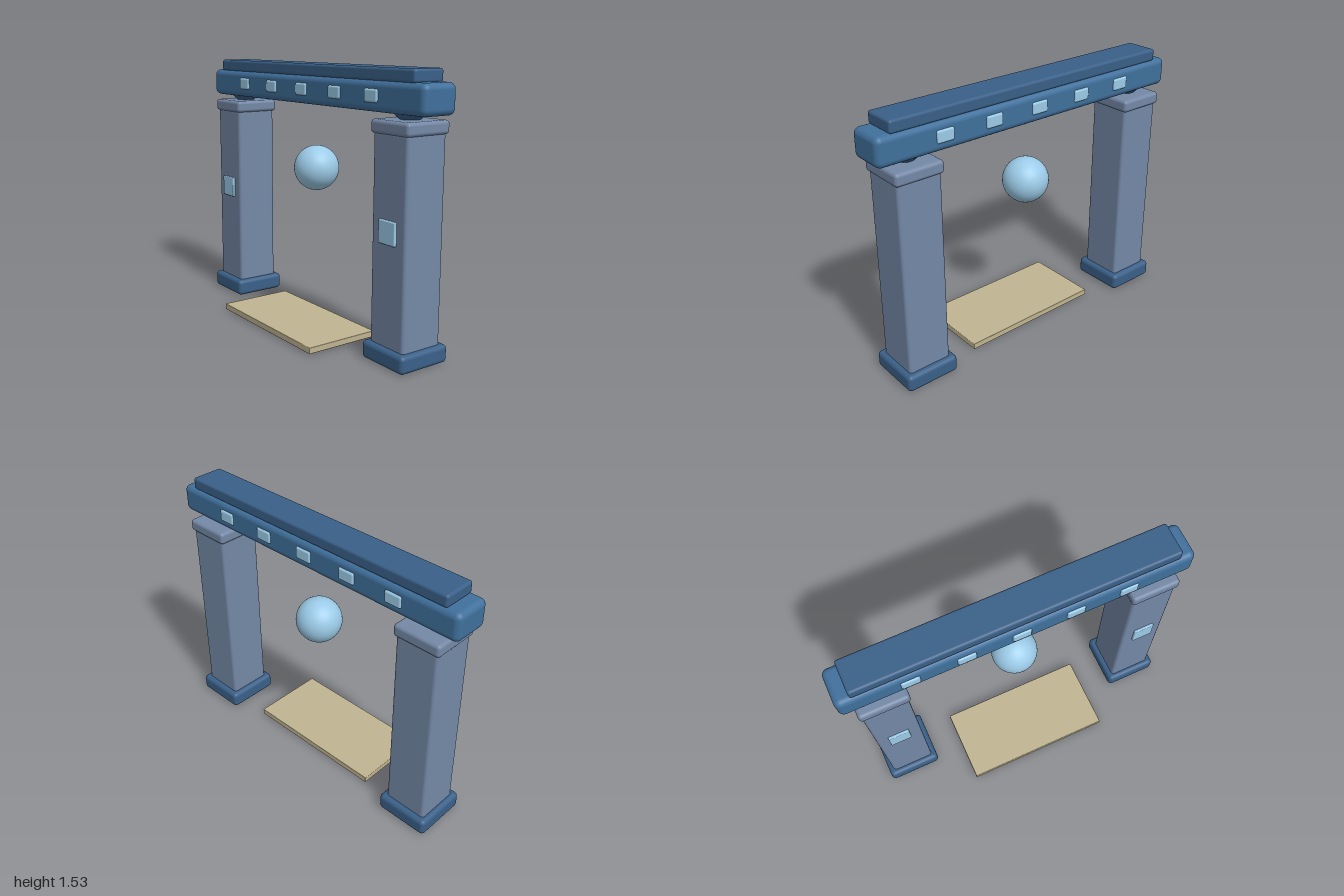
import * as THREE from 'three';
import { RoundedBoxGeometry } from 'three/addons/geometries/RoundedBoxGeometry.js';

const mat = (color) => new THREE.MeshStandardMaterial({ color });
const stone = mat(0x7488a6);
const darkBlue = mat(0x3a6088);
const beamBlue = mat(0x40709c);
const glow = mat(0x9ccbe8);
const sand = mat(0xc0b490);

const Z = -0.105; // depth centre of the gate

export function createModel() {
  const gate = new THREE.Group();
  gate.name = 'gate';

  const add = (parent, name, geometry, material, x, y, z) => {
    const mesh = new THREE.Mesh(geometry, material);
    mesh.name = name;
    mesh.position.set(x, y, z);
    parent.add(mesh);
  };
  // Rounded block spanning y0..y1
  const block = (parent, name, w, y0, y1, d, r, material, x = 0, z = Z) =>
    add(parent, name, new RoundedBoxGeometry(w, y1 - y0, d, 4, r), material, x, (y0 + y1) / 2, z);

  // Pillars with foot, cap, bearing ball and front light
  for (const [side, s] of [['left', 1], ['right', -1]]) {
    const pillar = new THREE.Group();
    pillar.name = side + 'Pillar';
    pillar.position.x = s * 0.785;
    block(pillar, 'foot', 0.32, 0, 0.1, 0.325, 0.025, darkBlue);
    block(pillar, 'shaft', 0.26, 0.002, 1.22, 0.26, 0.02, stone);
    block(pillar, 'cap', 0.285, 1.205, 1.277, 0.285, 0.02, stone);
    add(pillar, 'bearing', new THREE.SphereGeometry(0.1, 32, 20), darkBlue, 0, 1.362, Z);
    block(pillar, 'pillarLight', 0.125, 0.65, 0.775, 0.03, 0.006, glow, 0, 0.025);
    gate.add(pillar);
  }

  // Lintel and its top course
  block(gate, 'lintel', 2, 1.305, 1.467, 0.222, 0.035, beamBlue);
  block(gate, 'topCourse', 1.83, 1.462, 1.532, 0.195, 0.015, darkBlue);

  // Lintel lights on the front and back
  for (let i = -2; i <= 2; i++) {
    for (const s of [1, -1]) {
      block(gate, s > 0 ? 'frontLight' : 'backLight', 0.105, 1.354, 1.424, 0.03, 0.012, glow,
        i * 0.306, Z + s * 0.106);
    }
  }

  // Floating orb
  add(gate, 'orb', new THREE.SphereGeometry(0.132, 40, 28), glow, 0, 0.928, Z);

  // Threshold slab
  block(gate, 'thresholdSlab', 0.895, 0.004, 0.04, 0.45, 0.004, sand, 0, 0.043);

  return gate;
}
